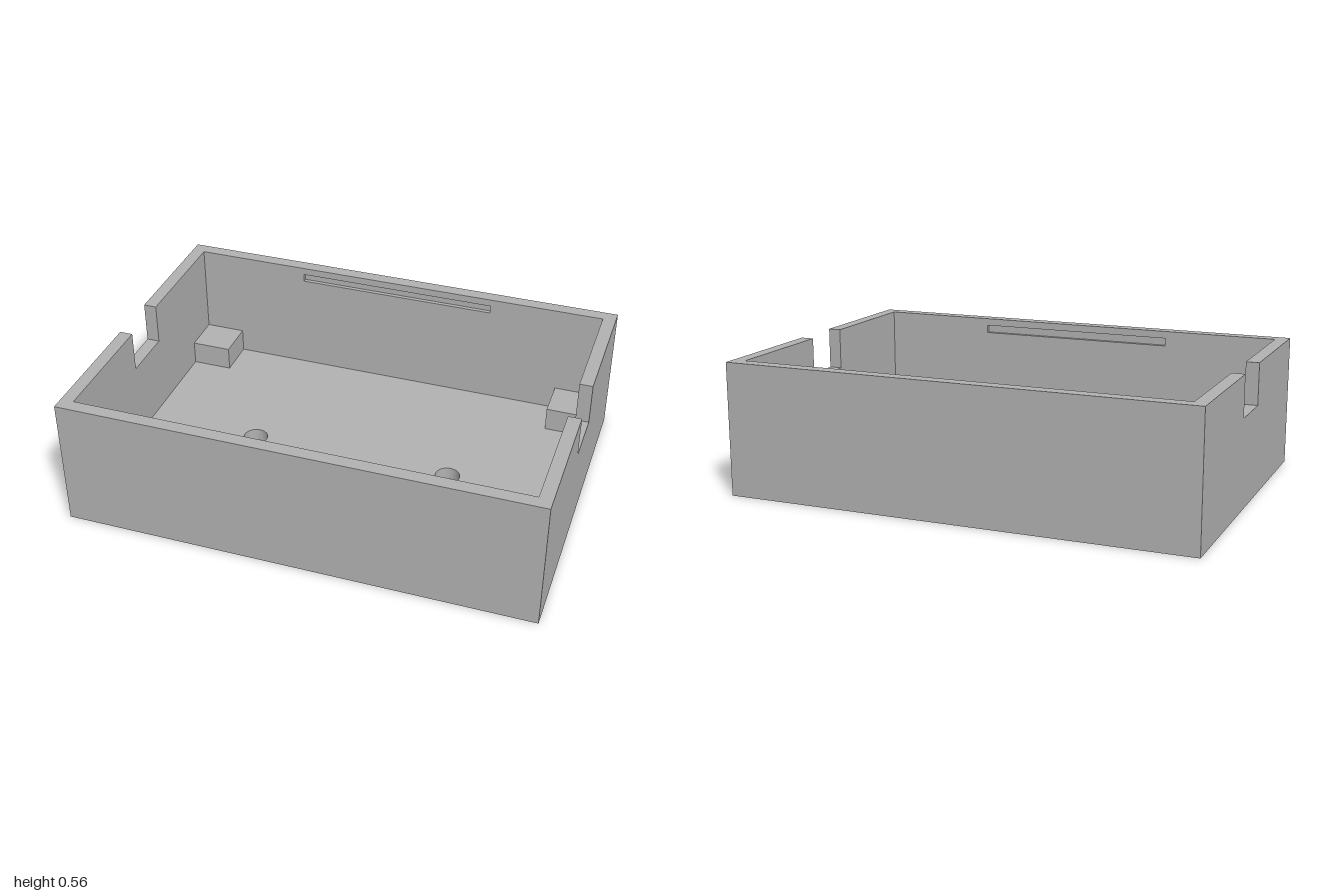
import * as THREE from 'three';

const X = 1, Z = 0.705, H = 0.565;        // half width, half depth, height
const WALL = 0.056;                       // wall and floor thickness
const POST = 0.177, POST_H = 0.106;       // corner supports
const NOTCH = 0.118, NOTCH_Y = 0.387;     // half width and sill of the end notches
const GROOVE = { half: 0.443, low: 0.498, high: 0.533, depth: 0.018 };

const rect = (Type, x0, y0, x1, y1) => new Type([
  new THREE.Vector2(x0, y0), new THREE.Vector2(x1, y0),
  new THREE.Vector2(x1, y1), new THREE.Vector2(x0, y1),
]);

const extrude = (shape, depth) =>
  new THREE.ExtrudeGeometry(shape, { depth, bevelEnabled: false, curveSegments: 24 });

export function createModel() {
  const grey = new THREE.MeshStandardMaterial({ color: 0xb2b2b2 });
  grey.name = 'grey plastic';

  const model = new THREE.Group();
  model.name = 'openCase';
  const add = (name, geometry, parent = model) => {
    const mesh = new THREE.Mesh(geometry, grey);
    mesh.name = name;
    parent.add(mesh);
    return mesh;
  };

  // Floor with two screw holes
  const floor = rect(THREE.Shape, -X, -Z, X, Z);
  for (const s of [-1, 1]) {
    floor.holes.push(new THREE.Path().absarc(s * 0.443, 0, 0.053, 0, Math.PI * 2, true));
  }
  add('floor', extrude(floor, WALL).rotateX(-Math.PI / 2).translate(0, 0, 0));

  // Long walls: a solid outer skin and an inner skin cut by the lid groove
  for (const [side, turn] of [['back', 0], ['front', Math.PI]]) {
    const wall = new THREE.Group();
    wall.name = side + 'Wall';
    wall.rotation.y = turn;
    const outer = rect(THREE.Shape, -X, WALL, X, H);
    add(side + 'WallOuter', extrude(outer, WALL - GROOVE.depth).translate(0, 0, -Z), wall);
    const inner = rect(THREE.Shape, -X, WALL, X, H);
    inner.holes.push(rect(THREE.Path, -GROOVE.half, GROOVE.low, GROOVE.half, GROOVE.high));
    add(side + 'WallGrooved', extrude(inner, GROOVE.depth).translate(0, 0, -Z + WALL - GROOVE.depth), wall);
    model.add(wall);
  }

  // End walls with a square notch in the rim
  const zi = Z - WALL;
  const end = new THREE.Shape([
    [-zi, WALL], [zi, WALL], [zi, H], [NOTCH, H],
    [NOTCH, NOTCH_Y], [-NOTCH, NOTCH_Y], [-NOTCH, H], [-zi, H],
  ].map(([x, y]) => new THREE.Vector2(x, y)));
  const endGeometry = extrude(end, WALL).rotateY(-Math.PI / 2).translate(X, 0, 0);
  add('leftEndWall', endGeometry);
  add('rightEndWall', endGeometry).rotation.y = Math.PI;

  // Support posts in the four inside corners
  const post = new THREE.BoxGeometry(POST, POST_H, POST);
  for (const sx of [-1, 1]) {
    for (const sz of [-1, 1]) {
      const name = (sz > 0 ? 'front' : 'back') + (sx > 0 ? 'Left' : 'Right') + 'Post';
      add(name, post).position.set(
        sx * (X - WALL - POST / 2), WALL + POST_H / 2, sz * (zi - POST / 2));
    }
  }

  return model;
}
